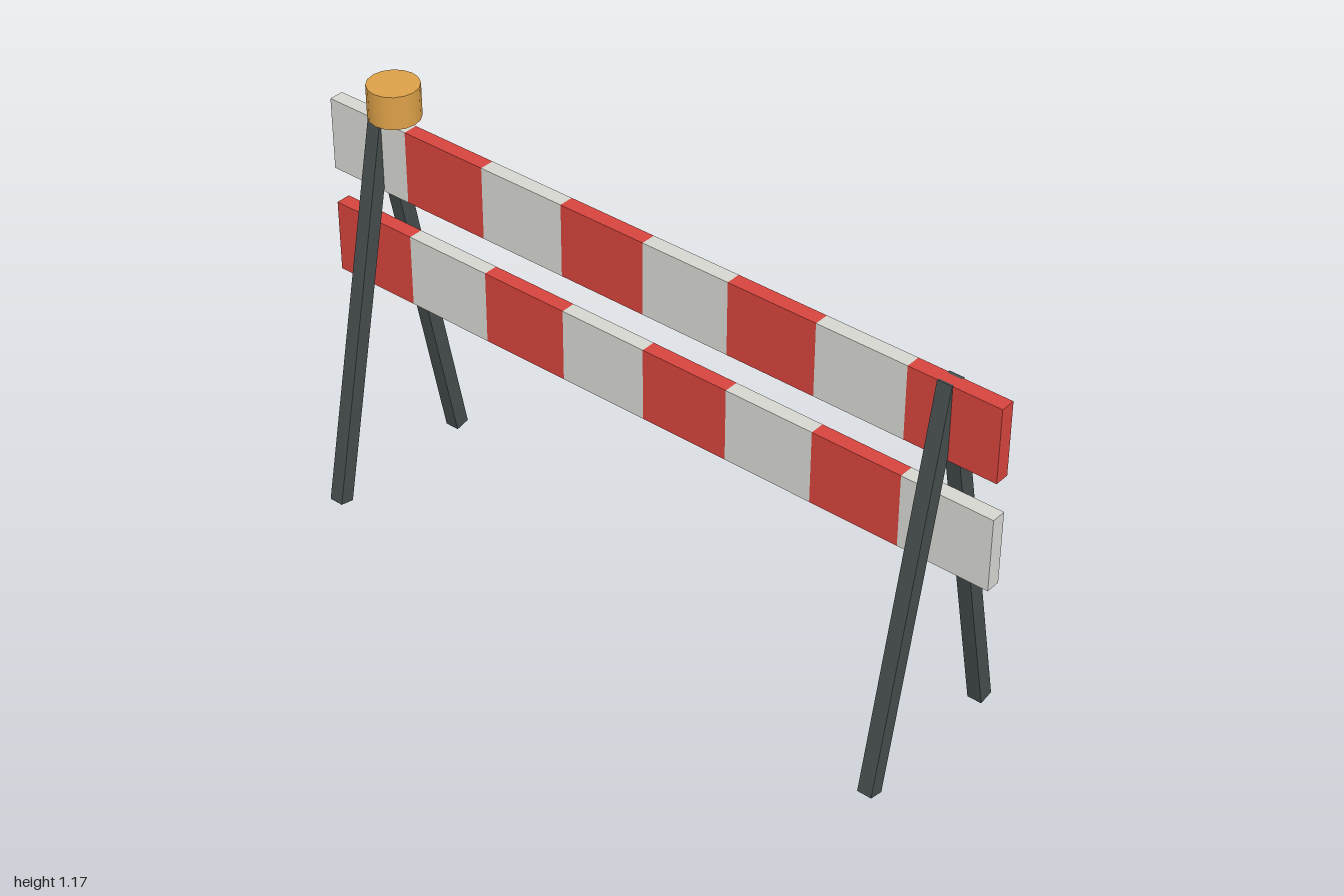
import * as THREE from 'three';

const mat = (name, color) => {
  const m = new THREE.MeshStandardMaterial({ color });
  m.name = name;
  return m;
};

export function createModel() {
  const white = mat('white', 0xd6d6d1);
  const red = mat('red', 0xd6443d);
  const steel = mat('dark steel', 0x454c4c);
  const amber = mat('amber', 0xdca048);

  const model = new THREE.Group();
  model.name = 'roadBarrier';

  // Two planks of eight alternating blocks
  const block = new THREE.BoxGeometry(0.25, 0.2, 0.04);
  const addPlank = (name, y, colours) => {
    const plank = new THREE.Group();
    plank.name = name;
    for (let i = 0; i < 8; i++) {
      const mesh = new THREE.Mesh(block, colours[i % 2]);
      mesh.name = 'stripeBlock';
      mesh.position.set(-0.875 + i * 0.25, y, 0);
      plank.add(mesh);
    }
    model.add(plank);
  };
  addPlank('upperPlank', 0.958, [white, red]);
  addPlank('lowerPlank', 0.657, [red, white]);

  // A pair of splayed legs at each end
  const legShape = new THREE.BoxGeometry(0.04, 1.073, 0.041);
  for (const x of [-1, 1]) {
    const frame = new THREE.Group();
    frame.name = x > 0 ? 'leftFrame' : 'rightFrame';
    for (const z of [-1, 1]) {
      const leg = new THREE.Mesh(legShape, steel);
      leg.name = z > 0 ? 'frontLeg' : 'backLeg';
      leg.position.set(x * 0.85, 0.53, z * 0.111);
      leg.rotation.x = -z * 0.204;
      frame.add(leg);
    }
    model.add(frame);
  }

  // Warning lamp above the right end
  const lamp = new THREE.Mesh(new THREE.CylinderGeometry(0.067, 0.067, 0.09, 16), amber);
  lamp.name = 'warningLamp';
  lamp.position.set(-0.8, 1.122, 0);
  model.add(lamp);

  return model;
}
